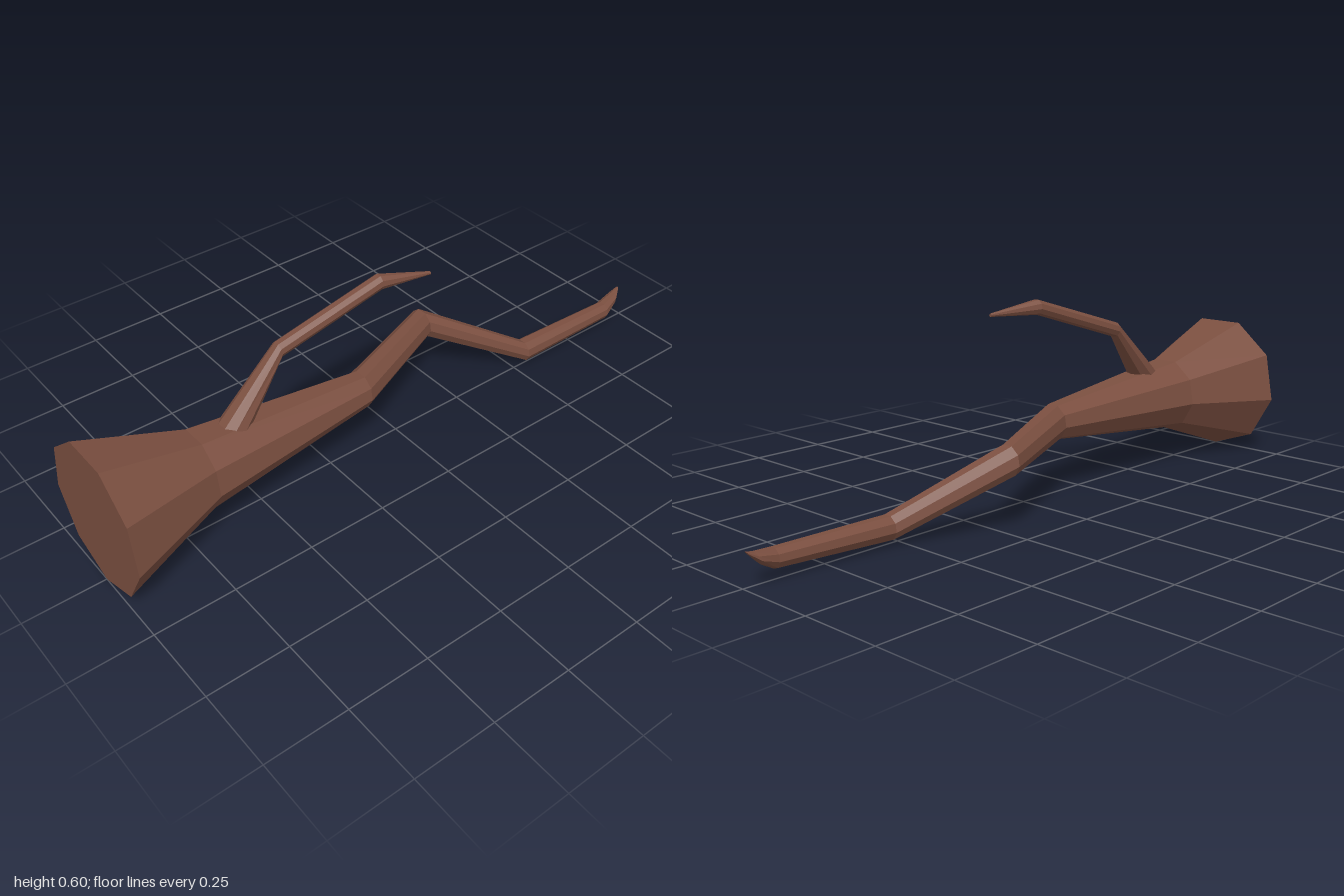
import * as THREE from 'three';

const SIDES = 9;

// Closed limb through rings [x, y, z, radius, pitch]; pitch (degrees) leans a ring's top towards +z
function limb(name, rings, material) {
  const pos = [], index = [];
  for (const [x, y, z, r, pitch = 0] of rings) {
    const p = THREE.MathUtils.degToRad(pitch);
    for (let i = 0; i < SIDES; i++) {
      const a = (i / SIDES) * Math.PI * 2;
      const up = -Math.cos(a) * r;
      pos.push(x + Math.sin(a) * r, y + up * Math.cos(p), z + up * Math.sin(p));
    }
  }
  const last = (rings.length - 1) * SIDES;
  for (let k = 0; k < last; k += SIDES) {
    for (let i = 0; i < SIDES; i++) {
      const a = k + i, b = k + (i + 1) % SIDES;
      index.push(a, a + SIDES, b, b, a + SIDES, b + SIDES);
    }
  }
  // flat end caps
  for (let i = 1; i < SIDES - 1; i++) {
    index.push(0, i, i + 1, last, last + i + 1, last + i);
  }
  const geometry = new THREE.BufferGeometry();
  geometry.setAttribute('position', new THREE.Float32BufferAttribute(pos, 3));
  geometry.setIndex(index);
  const flat = geometry.toNonIndexed();
  flat.computeVertexNormals();
  const mesh = new THREE.Mesh(flat, material);
  mesh.name = name;
  return mesh;
}

export function createModel() {
  const group = new THREE.Group();
  group.name = 'fallenBranch';
  const bark = new THREE.MeshStandardMaterial({ color: 0x7b4f40, flatShading: true });

  // Main trunk: wide cut end, tapering into a crooked tip
  group.add(limb('trunk', [
    [0, 0.227, 1, 0.225],
    [0, 0.228, 0.69, 0.118],
    [0, 0.226, 0.13, 0.056],
    [-0.166, 0.207, -0.24, 0.047],
    [-0.008, 0.051, -0.54, 0.037],
    [0.002, 0.058, -0.905, 0.029],
    [-0.01, 0.075, -0.962, 0.022, -28],
    [-0.018, 0.098, -0.996, 0.006, -40],
  ], bark));

  // Side branch rising from the trunk and bending back
  group.add(limb('sideBranch', [
    [0, 0.315, 0.565, 0.046, 75],
    [-0.02, 0.481, 0.395, 0.0235, 10],
    [0.012, 0.583, 0.07, 0.0235],
    [0.053, 0.571, -0.083, 0.005],
  ], bark));

  return group;
}
